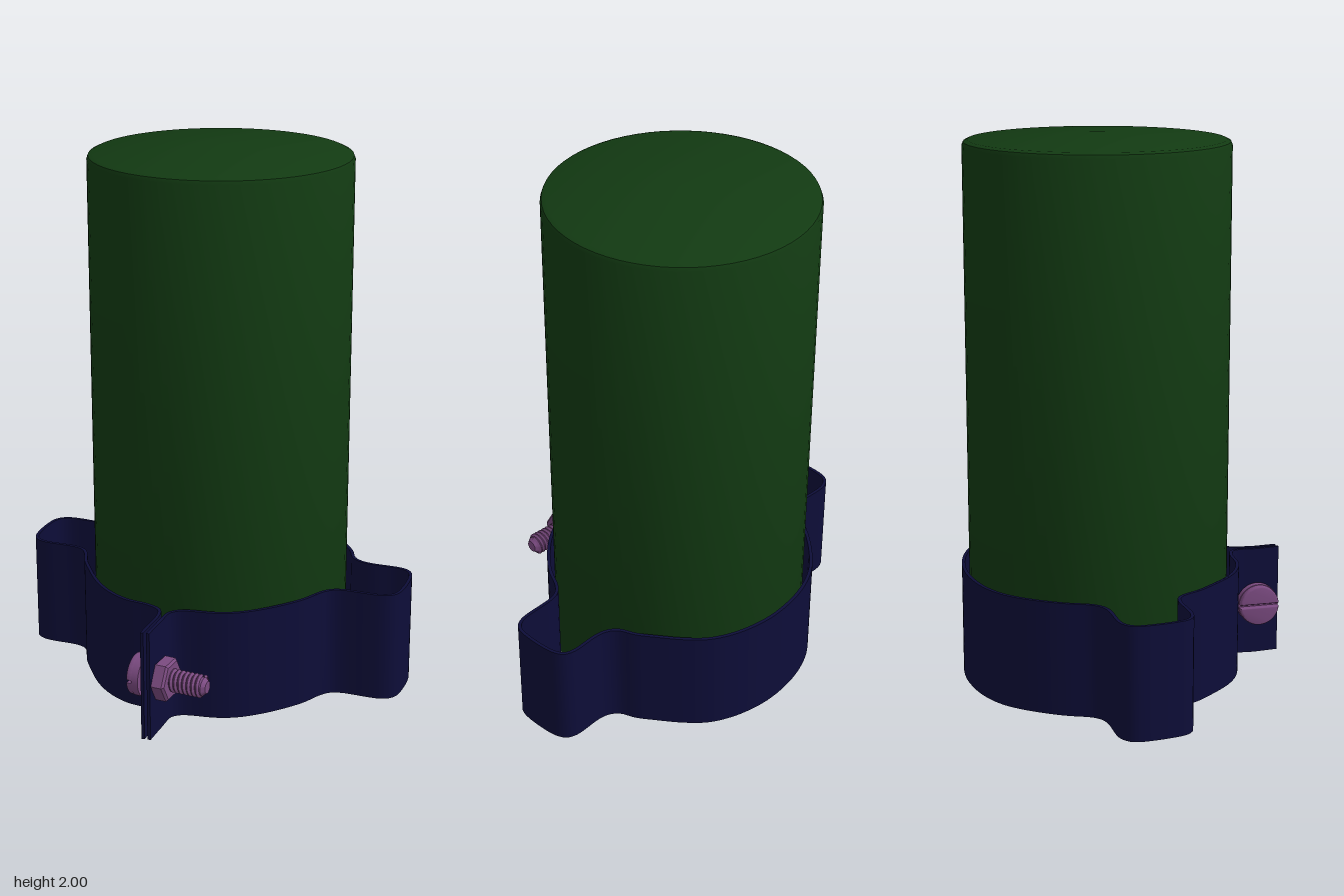
import * as THREE from 'three';
import { toCreasedNormals } from 'three/addons/utils/BufferGeometryUtils.js';

const green = new THREE.MeshStandardMaterial({ color: 0x123a12 });
const navy = new THREE.MeshStandardMaterial({ color: 0x0d0d38 });
const purple = new THREE.MeshStandardMaterial({ color: 0x7a4a80 });

const V = (x, y) => new THREE.Vector2(x, y);

function part(name, geometry, material, parent) {
  const mesh = new THREE.Mesh(geometry, material);
  mesh.name = name;
  parent.add(mesh);
  return mesh;
}

// Solid cylinder with gently domed ends and softened rims
function canisterGeometry() {
  const r = 0.475;
  const profile = [
    V(0, 0.005), V(r - 0.02, 0.022), V(r - 0.005, 0.027), V(r, 0.04),
    V(r, 1.955), V(r - 0.005, 1.968), V(r - 0.02, 1.975), V(0, 2),
  ];
  return toCreasedNormals(new THREE.LatheGeometry(profile, 64), 0.7);
}

// Strap centreline seen from above (x, z), from one clamping tab to the other
const strapPath = [
  [-0.307, 0.535], [-0.275, 0.462], [-0.245, 0.395], [-0.241, 0.355], [-0.275, 0.315],
  [-0.36, 0.26], [-0.42, 0.19], [-0.46, 0.11], [-0.49, 0], [-0.505, -0.08],
  [-0.506, -0.14], [-0.515, -0.18], [-0.545, -0.21], [-0.665, -0.268], [-0.693, -0.3],
  [-0.694, -0.34], [-0.638, -0.475], [-0.612, -0.5], [-0.57, -0.505], [-0.45, -0.452],
  [-0.41, -0.445], [-0.37, -0.456], [-0.29, -0.512], [-0.2, -0.558], [-0.11, -0.59],
  [-0.05, -0.601], [0.02, -0.601], [0.1, -0.588], [0.21, -0.55], [0.29, -0.505],
  [0.37, -0.44], [0.43, -0.365], [0.465, -0.28], [0.49, -0.18], [0.504, -0.11],
  [0.505, -0.045], [0.525, -0.007], [0.56, 0.02], [0.665, 0.068], [0.69, 0.095],
  [0.692, 0.14], [0.635, 0.275], [0.61, 0.3], [0.57, 0.305], [0.43, 0.25],
  [0.39, 0.246], [0.35, 0.262], [0.28, 0.315], [0.19, 0.36], [0.1, 0.39],
  [0.03, 0.402], [-0.04, 0.398], [-0.145, 0.371], [-0.18, 0.37], [-0.21, 0.384],
  [-0.225, 0.41], [-0.256, 0.475], [-0.286, 0.542],
];

function strapGeometry() {
  const curve = new THREE.CatmullRomCurve3(
    strapPath.map(([x, z]) => new THREE.Vector3(x, z, 0)), false, 'centripetal');
  const half = 0.006, n = 240;
  const outer = [], inner = [];
  for (let i = 0; i <= n; i++) {
    const p = curve.getPointAt(i / n), t = curve.getTangentAt(i / n);
    outer.push(V(p.x - t.y * half, p.y + t.x * half));
    inner.unshift(V(p.x + t.y * half, p.y - t.x * half));
  }
  const geo = new THREE.ExtrudeGeometry(new THREE.Shape([...outer, ...inner]),
    { depth: 0.413, bevelEnabled: false });
  geo.rotateX(Math.PI / 2).translate(0, 0.435, 0);
  // The strap sags slightly away from the line through its two ears
  const pos = geo.attributes.position;
  for (let i = 0; i < pos.count; i++) {
    const d = Math.abs(-0.39 * pos.getX(i) + 0.92 * (pos.getZ(i) + 0.1));
    pos.setY(i, pos.getY(i) - 0.02 * Math.min(1, d / 0.6) ** 2);
  }
  return toCreasedNormals(geo, 0.6);
}

// Helical thread running along +y
function threadGeometry(start, end, pitch, r) {
  const profile = [];
  const turns = Math.round((end - start) / pitch);
  for (let i = 0; i < turns; i++) {
    const y = start + i * pitch;
    profile.push(V(r - 0.009, y), V(r - 0.001, y + pitch * 0.4), V(r - 0.001, y + pitch * 0.6));
  }
  profile.push(V(r - 0.009, start + turns * pitch));
  const geo = new THREE.LatheGeometry(profile, 32);
  const pos = geo.attributes.position, uv = geo.attributes.uv;
  for (let i = 0; i < pos.count; i++) pos.setY(i, pos.getY(i) + pitch * uv.getX(i));
  return toCreasedNormals(geo, 0.5);
}

// Screw built along +y, with y = 0 under the head
function buildScrew() {
  const screw = new THREE.Group();
  screw.name = 'clampScrew';

  const headBase = new THREE.CylinderGeometry(0.078, 0.078, 0.026, 40);
  part('screwHeadBase', headBase.translate(0, -0.013, 0), purple, screw);

  // Two raised head halves leave the screwdriver slot between them
  const R = 0.072, a = Math.asin(0.009 / R);
  const halfShape = new THREE.Shape();
  halfShape.absarc(0, 0, R, a, Math.PI - a, false);
  halfShape.closePath();
  const halfGeo = toCreasedNormals(new THREE.ExtrudeGeometry(halfShape, {
    depth: 0.014, curveSegments: 24, bevelThickness: 0.008, bevelSize: 0.006,
    bevelOffset: -0.002, bevelSegments: 3,
  }), 0.6).rotateX(Math.PI / 2).translate(0, -0.026, 0);
  for (const turn of [0, Math.PI]) {
    part('screwHeadHalf', halfGeo, purple, screw).rotation.y = turn;
  }

  // Shank core with a chamfered tip
  const core = new THREE.LatheGeometry(
    [V(0, -0.01), V(0.033, -0.01), V(0.033, 0.222), V(0.022, 0.236), V(0, 0.236)], 32);
  part('screwShank', toCreasedNormals(core, 0.5), purple, screw);
  part('screwThread', threadGeometry(0.06, 0.213, 0.017, 0.043), purple, screw).material.side = THREE.DoubleSide;

  // Hexagonal nut with chamfered corners
  const nutProfile = [V(0, 0.044), V(0.07, 0.044), V(0.079, 0.052), V(0.079, 0.092), V(0.07, 0.1), V(0, 0.1)];
  const nut = toCreasedNormals(new THREE.LatheGeometry(nutProfile, 6), 0.3);
  part('nut', nut, purple, screw).rotation.y = Math.PI / 2;
  return screw;
}

export function createModel() {
  const model = new THREE.Group();
  model.name = 'clampedCanister';

  part('canister', canisterGeometry(), green, model).position.set(0.005, 0, -0.1);
  part('clampStrap', strapGeometry(), navy, model);

  // Turn the screw so that its axis crosses both tabs and its slot lies level
  const screw = buildScrew();
  const axis = new THREE.Vector3(0.883, 0, 0.469).normalize();
  const up = new THREE.Vector3(0, 1, 0);
  const side = new THREE.Vector3().crossVectors(axis, up);
  screw.quaternion.setFromRotationMatrix(new THREE.Matrix4().makeBasis(side, axis, up));
  screw.position.set(-0.287, 0.207, 0.442);
  model.add(screw);
  return model;
}
